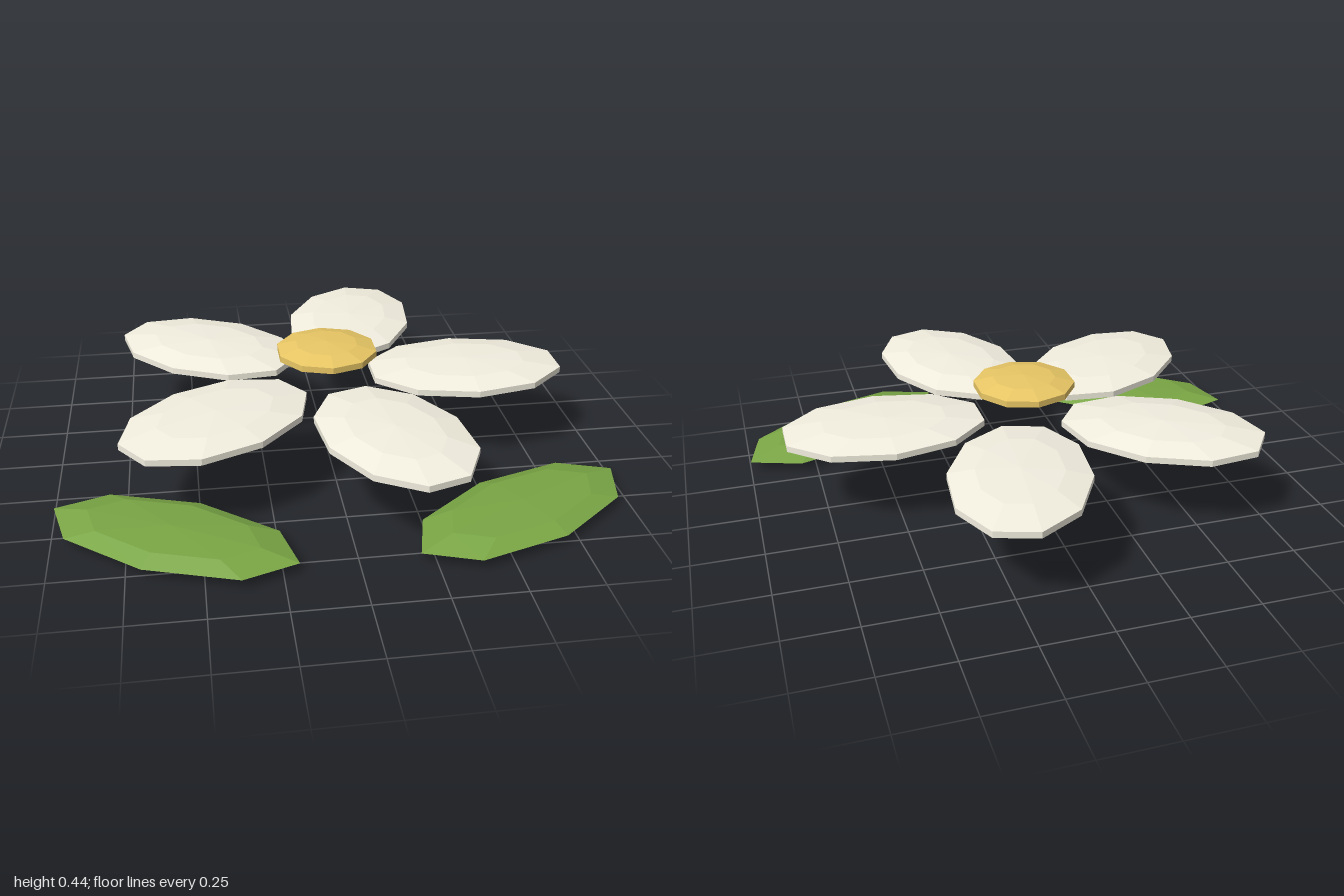
import * as THREE from 'three';

const HALF_THICKNESS = 0.037;

const material = (color) =>
  new THREE.MeshStandardMaterial({ color, flatShading: true });

// Flattened low-poly sphere lying in the xz plane
function pebble(name, sides, rings, length, width, mat, turn = 0) {
  const geometry = new THREE.SphereGeometry(1, sides, rings);
  geometry.rotateY(turn);
  geometry.scale(length, HALF_THICKNESS, width);
  const mesh = new THREE.Mesh(geometry, mat);
  mesh.name = name;
  return mesh;
}

export function createModel() {
  const model = new THREE.Group();
  model.name = 'flower';

  const ivory = material(0xf3efe0);
  const yellow = material(0xe9c765);
  const green = material(0x7aa645);

  // Blossom: five petals around a yellow centre
  const blossom = new THREE.Group();
  blossom.name = 'blossom';
  blossom.position.set(0, 0.306, -0.008);
  model.add(blossom);

  for (let i = 0; i < 5; i++) {
    const angle = (i * Math.PI * 2) / 5;
    const petal = pebble('petal', 10, 5, 0.392, 0.257, ivory, Math.PI / 2);
    petal.position.set(0.526 * Math.cos(angle), 0, -0.526 * Math.sin(angle));
    petal.rotation.y = angle;
    blossom.add(petal);
  }

  const centre = pebble('flowerCentre', 10, 5, 0.196, 0.196, yellow, Math.PI / 2);
  centre.position.y = 0.1;
  blossom.add(centre);

  // Two mirrored leaves on the ground, in front of the blossom
  for (const side of [1, -1]) {
    const leaf = pebble(side > 0 ? 'leftLeaf' : 'rightLeaf', 8, 4, 0.457, 0.21, green);
    leaf.position.set(side * 0.598, HALF_THICKNESS, 0.585);
    leaf.rotation.y = side * 0.5;
    model.add(leaf);
  }

  return model;
}
